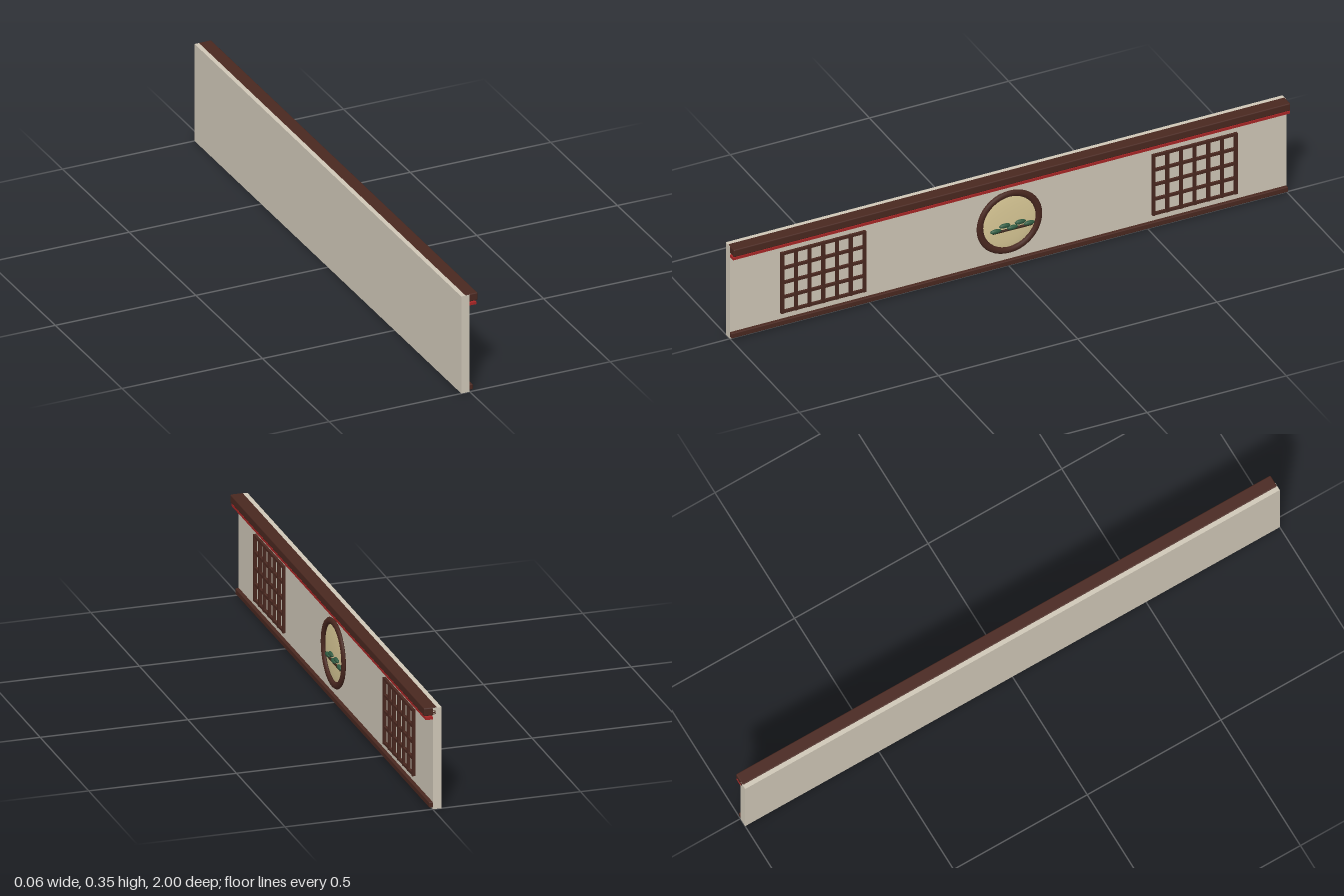
import * as THREE from 'three';
import { RoundedBoxGeometry } from 'three/addons/geometries/RoundedBoxGeometry.js';

const material = (name, color) => {
  const m = new THREE.MeshStandardMaterial({ color });
  m.name = name;
  return m;
};

export function createModel() {
  const plaster = material('plaster', 0xd0c8b8);
  const wood = material('dark wood', 0x4a2820);
  const red = material('red trim', 0xa82626);
  const cream = material('cream panel', 0xdccb98);
  const bark = material('bark', 0x3a2418);
  const green = material('pine green', 0x2f5a40);

  const group = new THREE.Group();
  group.name = 'decoratedWall';

  const add = (name, geometry, mat, x, y, z, parent = group) => {
    const mesh = new THREE.Mesh(geometry, mat);
    mesh.name = name;
    mesh.position.set(x, y, z);
    parent.add(mesh);
    return mesh;
  };
  // Box given by its x and y limits, running along z
  const bar = (name, mat, x0, x1, y0, y1, length, z = 0, radius = 0, parent = group) => {
    const w = x1 - x0, h = y1 - y0;
    const geometry = radius
      ? new RoundedBoxGeometry(w, h, length, 2, radius)
      : new THREE.BoxGeometry(w, h, length);
    return add(name, geometry, mat, (x0 + x1) / 2, (y0 + y1) / 2, z, parent);
  };

  // Wall slab and long horizontal trims
  bar('wall', plaster, -0.03, 0, 0, 0.349, 2);
  bar('topBeam', wood, -0.015, 0.029, 0.323, 0.351, 2, 0, 0.004);
  bar('redTrim', red, 0, 0.024, 0.31, 0.319, 2);
  bar('bottomRail', wood, -0.004, 0.012, 0.006, 0.025, 2, 0, 0.003);

  // Lattice windows, one on each side of the medallion
  for (const side of [-1, 1]) {
    const lattice = new THREE.Group();
    lattice.name = side > 0 ? 'frontLattice' : 'backLattice';
    lattice.position.z = side * 0.667;
    group.add(lattice);
    for (let i = 0; i < 7; i++) {
      bar('latticeUpright', wood, 0, 0.01, 0.048, 0.278, 0.01, (i - 3) * 0.0492, 0, lattice);
    }
    for (let i = 0; i < 5; i++) {
      const y = 0.053 + i * 0.055;
      bar('latticeCrossbar', wood, 0, 0.009, y - 0.0045, y + 0.0045, 0.305, 0, 0, lattice);
    }
  }

  // Round medallion: shallow domed panel inside a ring
  const medallion = new THREE.Group();
  medallion.name = 'medallion';
  medallion.position.y = 0.17;
  group.add(medallion);
  const panel = add('medallionPanel', new THREE.SphereGeometry(0.106, 40, 20), cream, 0, 0, 0, medallion);
  panel.scale.x = 0.07;
  const ring = new THREE.TorusGeometry(0.106, 0.012, 8, 40);
  ring.rotateY(Math.PI / 2);
  add('medallionRing', ring, wood, 0.008, 0, 0, medallion).scale.x = 0.6;

  // Pine branch with flattened foliage pads
  const branch = new THREE.CylinderGeometry(0.004, 0.005, 0.14, 8);
  branch.rotateX(Math.PI / 2);
  add('pineBranch', branch, bark, 0.009, -0.029, -0.01, medallion);
  const pads = [[-0.06, -0.023], [0, -0.023], [0.06, -0.023], [-0.028, -0.01], [0.028, -0.01]];
  for (const [z, y] of pads) {
    const pad = add('pinePad', new THREE.SphereGeometry(1, 14, 10), green, 0.01, y, z - 0.01, medallion);
    pad.scale.set(0.007, 0.008, 0.02);
  }

  return group;
}
